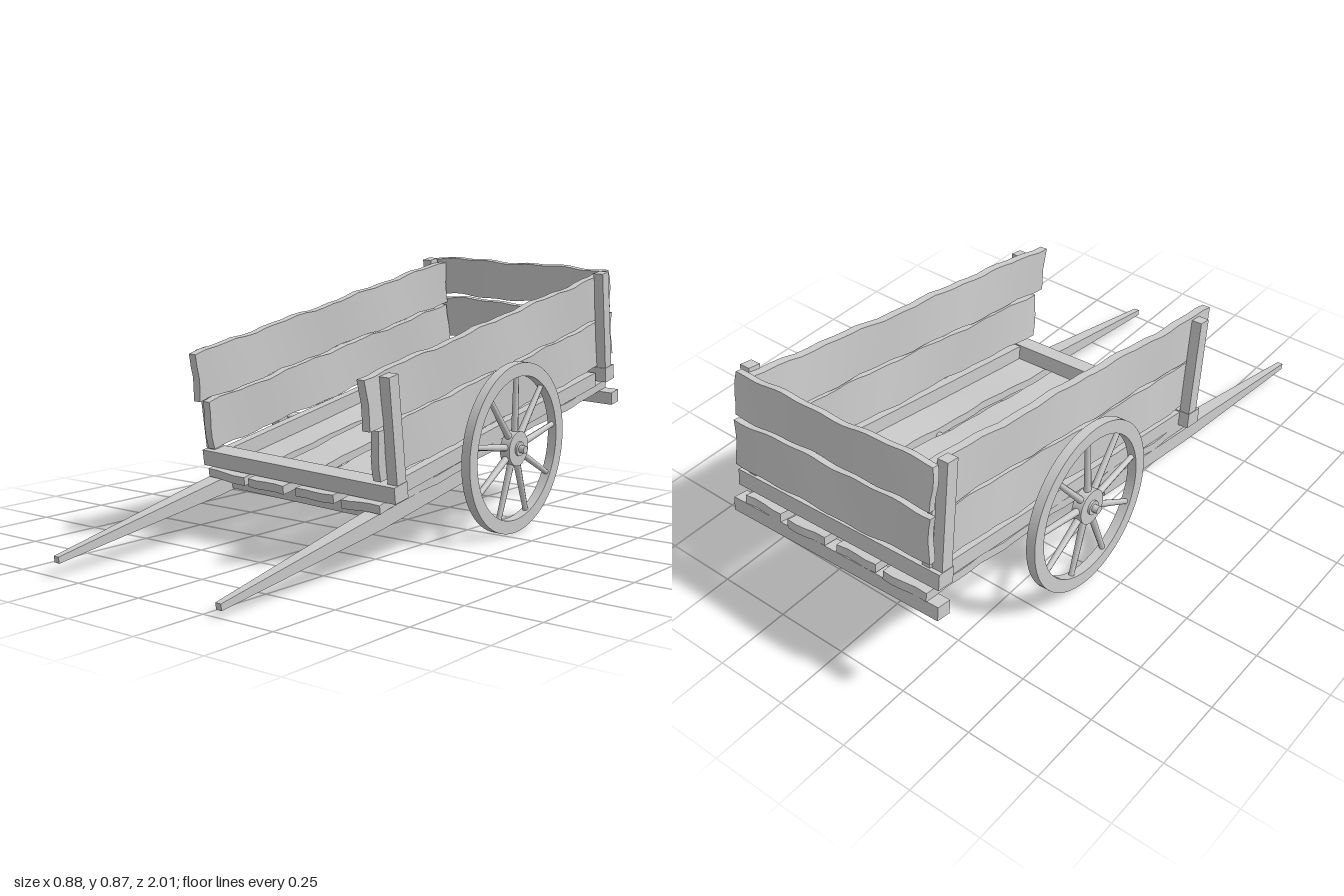
import * as THREE from 'three';
import { toCreasedNormals } from 'three/addons/utils/BufferGeometryUtils.js';

const mat = new THREE.MeshStandardMaterial({ color: 0xcccccc, side: THREE.DoubleSide });

function add(parent, name, geometry, x = 0, y = 0, z = 0) {
  const mesh = new THREE.Mesh(geometry, mat);
  mesh.name = name;
  mesh.position.set(x, y, z);
  parent.add(mesh);
  return mesh;
}

const box = (parent, name, w, h, d, x, y, z) => add(parent, name, new THREE.BoxGeometry(w, h, d), x, y, z);

// Board of given length (x), width (y) and thickness (z) with wavy long edges and a slight warp
function board(length, width, thick, seed) {
  const g = new THREE.BoxGeometry(length, width, thick, 28, 4, 1);
  const p = g.attributes.position;
  for (let i = 0; i < p.count; i++) {
    const x = p.getX(i), y = p.getY(i), v = y / (width / 2);
    const edge = 0.003 * Math.sin(x * 17 + seed * 2.1 + v) + 0.0025 * Math.sin(x * 39 + seed * 4.7 + v * 2);
    const warp = 0.003 * Math.sin(x * 8 + seed) * v;
    const end = 0.004 * Math.sin(v * 3 + seed * 3) * (x / (length / 2));
    p.setXYZ(i, x + end, y + edge * v, p.getZ(i) + warp);
  }
  return toCreasedNormals(g, 0.6);
}

// Shaft: square beam whose front part tapers to a thin tip
function shaftGeometry(z0, zTaper, z1, tipShift) {
  const g = new THREE.BoxGeometry(0.056, 0.052, 1, 1, 1, 2);
  const p = g.attributes.position;
  for (let i = 0; i < p.count; i++) {
    const t = p.getZ(i);
    if (t > 0.4) p.setXYZ(i, p.getX(i) * 0.36 + tipShift, p.getY(i) * 0.4, z1);
    else p.setZ(i, t < -0.4 ? z0 : zTaper);
  }
  return toCreasedNormals(g, 0.02);
}

// Spoked wheel turning about x
function wheel(name) {
  const g = new THREE.Group();
  g.name = name;
  const R = 0.284, r = 0.24, w = 0.032;
  const rim = new THREE.Shape().absarc(0, 0, R, 0, Math.PI * 2);
  rim.holes.push(new THREE.Path().absarc(0, 0, r, 0, Math.PI * 2, true));
  const rimGeo = new THREE.ExtrudeGeometry(rim, { depth: w, bevelEnabled: false, curveSegments: 40 });
  rimGeo.translate(0, 0, -w / 2).rotateY(Math.PI / 2);
  add(g, 'rim', toCreasedNormals(rimGeo, 0.5));
  add(g, 'hub', new THREE.CylinderGeometry(0.058, 0.058, 0.036, 24).rotateZ(Math.PI / 2));
  add(g, 'hubCap', new THREE.CylinderGeometry(0.024, 0.024, 0.05, 16).rotateZ(Math.PI / 2));
  const spokes = 9;
  for (let i = 0; i < spokes; i++) {
    const geo = new THREE.CylinderGeometry(0.009, 0.012, 0.2, 8).translate(0, 0.148, 0);
    add(g, 'spoke', geo).rotation.x = (i / spokes) * Math.PI * 2 - 0.14;
  }
  return g;
}

export function createModel() {
  const model = new THREE.Group();
  model.name = 'handCart';
  // The whole cart rests tilted on its wheels and shaft tips; its origin is the axle
  const cart = new THREE.Group();
  cart.name = 'cart';
  cart.position.set(-0.005, 0.302, -0.305);
  cart.rotation.set(0.176, 0, -0.039);
  model.add(cart);

  // Floor planks: left edge, right edge
  [[-0.355, -0.2], [-0.172, -0.022], [0.022, 0.172], [0.205, 0.35]].forEach(([a, b], i) => {
    const geo = board(1.37, b - a, 0.028, i + 1).rotateX(-Math.PI / 2).rotateY(Math.PI / 2);
    add(cart, 'floorPlank', geo, (a + b) / 2, 0.014, -0.02 + 0.006 * (i % 2));
  });

  // Cross bars above and below the floor
  box(cart, 'frontCrossBar', 0.78, 0.052, 0.065, 0, 0.056, 0.61);
  box(cart, 'backCrossBar', 0.78, 0.052, 0.06, 0, 0.07, -0.66);
  box(cart, 'frontLowerBar', 0.66, 0.042, 0.05, 0, -0.027, 0.585);
  box(cart, 'backLowerBar', 0.8, 0.045, 0.05, 0, -0.023, -0.675);

  // Sides, posts, shafts and wheels, mirrored
  for (const s of [-1, 1]) {
    box(cart, 'sideRail', 0.032, 0.05, 1.2, s * 0.338, 0.053, -0.02);
    const lower = board(1.34, 0.16, 0.028, 6 + s).rotateY(Math.PI / 2);
    add(cart, 'lowerSidePlank', lower, s * 0.338, 0.177, -0.015);
    const upper = board(1.375, 0.158, 0.028, 9 + s).rotateY(Math.PI / 2);
    add(cart, 'upperSidePlank', upper, s * 0.338, 0.346, 0);
    box(cart, 'frontPost', 0.036, 0.375, 0.045, s * 0.37, 0.228, 0.602);
    box(cart, 'backPost', 0.036, 0.39, 0.042, s * 0.37, 0.245, -0.655);

    add(cart, 'shaft', shaftGeometry(0.15, 0.66, 1.327, -0.007), s * 0.324 - 0.008, -0.027, 0);

    const w = wheel(s > 0 ? 'leftWheel' : 'rightWheel');
    w.position.x = s * 0.396;
    cart.add(w);
  }

  // Back boards
  add(cart, 'backLowerBoard', board(0.74, 0.152, 0.022, 14), 0, 0.207, -0.705);
  add(cart, 'backUpperBoard', board(0.74, 0.14, 0.022, 17), 0, 0.368, -0.703);

  // Axle
  add(cart, 'axle', new THREE.CylinderGeometry(0.013, 0.013, 0.88, 12).rotateZ(Math.PI / 2));

  return model;
}
